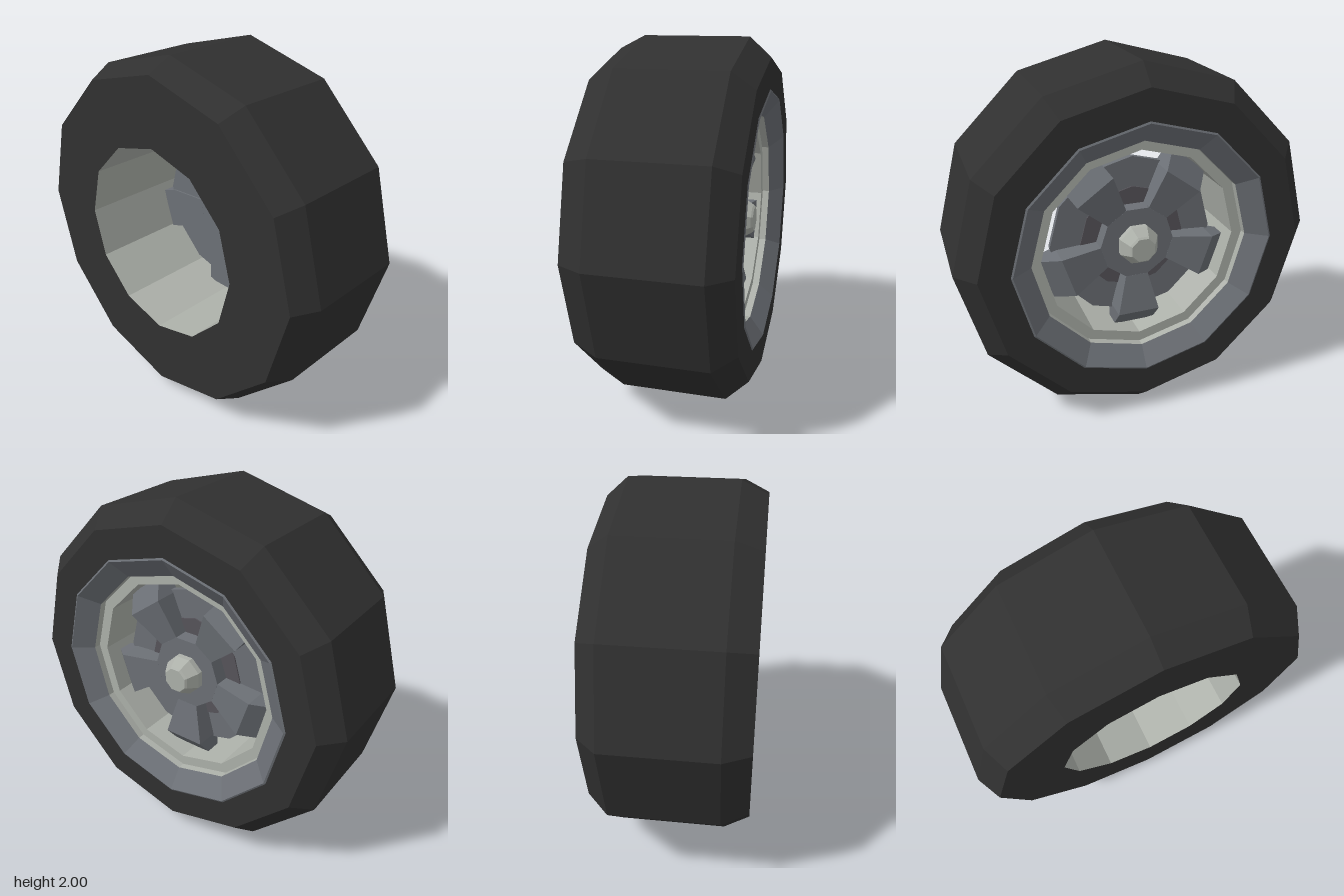
import * as THREE from 'three';

const mat = (name, color) => {
  const m = new THREE.MeshStandardMaterial({ color });
  m.name = name;
  return m;
};

// Faceted look: every face gets its own normal
function faceted(geometry) {
  const g = geometry.index ? geometry.toNonIndexed() : geometry;
  g.computeVertexNormals();
  return g;
}

function part(name, geometry, material) {
  const mesh = new THREE.Mesh(faceted(geometry), material);
  mesh.name = name;
  return mesh;
}

// Turned shape around the x axis; profile points are [radius, x]
function turned(profile, sides, phase = 0) {
  const points = profile.map(([r, x]) => new THREE.Vector2(r, x));
  return new THREE.LatheGeometry(points, sides, phase).rotateZ(-Math.PI / 2);
}

// Spoke pointing down: wider and higher towards the bend, then a sloping tip
function spokeGeometry() {
  const back = 0.12;
  const sections = [
    { r: 0.53, half: 0.12, front: 0.2 },
    { r: 0.42, half: 0.12, front: 0.29 },
    { r: 0.2, half: 0.065, front: 0.25 },
  ];
  const g = new THREE.BoxGeometry(2, 2, 2, 1, 2, 1);
  const p = g.attributes.position;
  for (let i = 0; i < p.count; i++) {
    const s = sections[Math.round(p.getY(i)) + 1];
    p.setXYZ(i, p.getX(i) > 0 ? s.front : back, -s.r, Math.sign(p.getZ(i)) * s.half);
  }
  return g;
}

export function createModel() {
  const rubber = mat('black rubber', 0x303030);
  const grey = mat('grey metal', 0x6c7076);
  const light = mat('light metal', 0xadb1aa);
  const dark = mat('dark metal', 0x57545a);

  const wheel = new THREE.Group();
  wheel.name = 'wheel';

  // Tyre with chamfered shoulders and flat side walls
  wheel.add(part('tyre', turned([
    [0.55, -0.42], [0.93, -0.42], [1, -0.28], [1, 0.3], [0.895, 0.415], [0.73, 0.415],
  ], 12), rubber));

  // Sloping outer rim, then the stepped lip and the barrel
  wheel.add(part('outerRim', turned([[0.73, 0.415], [0.72, 0.42], [0.61, 0.34]], 12), grey));
  wheel.add(part('barrel', turned([[0.61, 0.34], [0.61, 0.3], [0.55, 0.3], [0.55, -0.42]], 12), light));

  // Brake disc behind the spokes, with a dark centre
  wheel.add(part('brakeDisc', turned([[0, 0.13], [0.47, 0.13], [0.47, 0.16], [0, 0.16]], 12), grey));
  wheel.add(part('discCentre', turned([[0.3, 0.16], [0.3, 0.167], [0, 0.167]], 12), dark));

  // Ten-sided hub with five spokes
  wheel.add(part('hub', turned([[0, 0.12], [0.21, 0.12], [0.21, 0.25], [0, 0.25]], 10), grey));
  for (let i = 0; i < 5; i++) {
    const spoke = part('spoke', spokeGeometry(), grey);
    spoke.rotation.x = (i * Math.PI * 2) / 5;
    wheel.add(spoke);
  }

  // Tapered centre cap
  wheel.add(part('centreCap', turned([
    [0.115, 0.25], [0.115, 0.28], [0.08, 0.34], [0.07, 0.35], [0, 0.35],
  ], 8, Math.PI / 8), light));

  wheel.position.y = 1;
  const model = new THREE.Group();
  model.name = 'wheelModel';
  model.add(wheel);
  return model;
}
